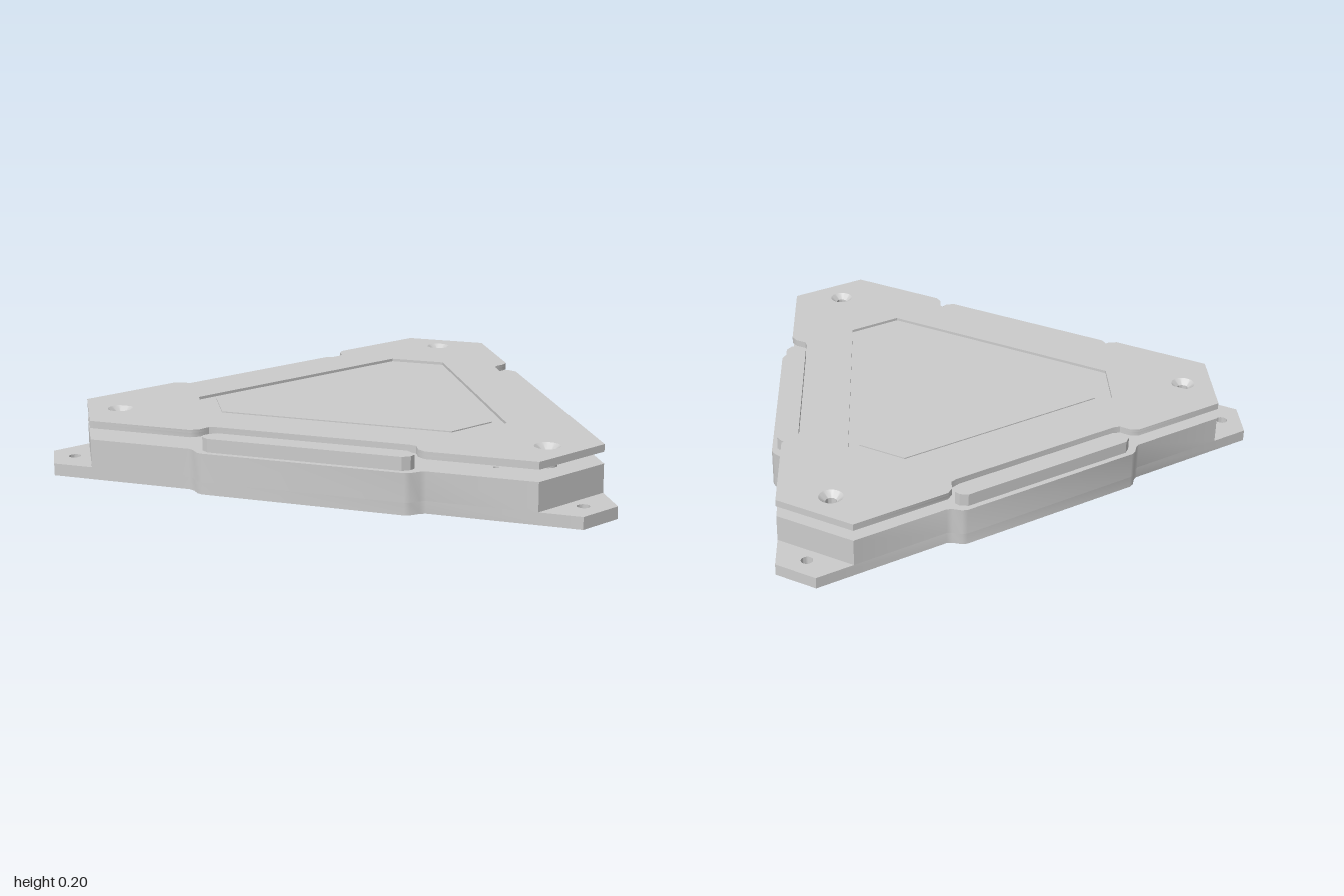
import * as THREE from 'three';
import { toCreasedNormals } from 'three/addons/utils/BufferGeometryUtils.js';

const CENTRE_Z = 0.222; // centre of the threefold symmetry
const EDGE = 0.623;     // centre to each long side
const material = new THREE.MeshStandardMaterial({ color: 0xcccccc });

// Point on side k: t along the side, n outward from the centre
function sidePoint(k, t, n) {
  const a = -Math.PI / 2 + (k * Math.PI * 2) / 3;
  return new THREE.Vector2(n * Math.cos(a) - t * Math.sin(a), n * Math.sin(a) + t * Math.cos(a));
}

// Triangle with cut corners; half lists [t, n] detail points on the +t half of each side
function triangle(edge, tip, half = []) {
  const end = (tip - edge / 2) / Math.sin(Math.PI / 3);
  const right = [...half, [end, edge]];
  const left = right.map(([t, n]) => [-t, n]).reverse();
  const points = [];
  for (let k = 0; k < 3; k++) {
    for (const [t, n] of [...left, ...right]) points.push(sidePoint(k, t, n));
  }
  return points;
}

function circle(c, r) {
  return new THREE.Path().absarc(c.x, c.y, r, 0, Math.PI * 2, true);
}

function slab(name, points, y0, y1, holes = []) {
  const shape = new THREE.Shape(points);
  shape.holes.push(...holes);
  const geo = new THREE.ExtrudeGeometry(shape, { depth: y1 - y0, bevelEnabled: false, curveSegments: 16 });
  geo.rotateX(-Math.PI / 2).translate(0, y0, 0);
  const mesh = new THREE.Mesh(toCreasedNormals(geo, 0.6), material);
  mesh.name = name;
  return mesh;
}

export function createModel() {
  const group = new THREE.Group();
  group.name = 'triangularEnclosure';
  const body = new THREE.Group();
  body.position.z = CENTRE_Z;
  group.add(body);

  // Bulge in the middle of each side, and the matching notch in the lid
  const bulge = [[0.35, 0.663], [0.368, 0.656], [0.392, 0.632], [0.41, EDGE]];
  const notch = [[0.335, 0.563], [0.36, 0.57], [0.378, 0.605], [0.405, EDGE]];

  // Holes at each corner (the corner opposite side k) and on each side
  const through = [], mounting = [], blind = [], screwHoles = [], screws = [];
  for (let k = 0; k < 3; k++) {
    mounting.push(circle(sidePoint(k, 0, -1.035), 0.021));
    for (const s of [-1, 1]) {
      through.push([sidePoint(k, s * 0.136, -0.78), 0.009]);
      blind.push(circle(sidePoint(k, s * 0.36, 0.62), 0.02));
    }
    screws.push(sidePoint(k, 0, -0.873));
    screwHoles.push(circle(screws[k], 0.043));
  }
  const small = () => through.map(([c, r]) => circle(c, r));

  // Two slots in the underside
  const slots = [-0.1, 0.1].map((x) => new THREE.Path([
    new THREE.Vector2(x - 0.06, -0.275), new THREE.Vector2(x - 0.06, -0.225),
    new THREE.Vector2(x + 0.06, -0.225), new THREE.Vector2(x + 0.06, -0.275),
  ]));

  // Base with corner mounting ears, and the thicker housing above it
  body.add(slab('basePlate', triangle(EDGE, 1.107, bulge), 0, 0.042,
    [...mounting, ...blind, ...small(), ...slots]));
  body.add(slab('housing', triangle(EDGE, 0.982, bulge), 0.042, 0.14, small()));

  // Lid with a shallow recess and an inset panel
  const lidOutline = triangle(EDGE, 0.982, notch);
  const recess = triangle(0.385, 0.592);
  body.add(slab('lidBottom', lidOutline, 0.18, 0.195, screwHoles));
  body.add(slab('lidTop', lidOutline, 0.195, 0.205, [...screwHoles, new THREE.Path(recess)]));
  body.add(slab('insetPanel', triangle(0.345, 0.53), 0.195, 0.199));

  // Raised block in each side notch
  const half = [[0.335, 0.643], [0.36, 0.625], [0.366, 0.605], [0.355, 0.588], [0.33, 0.568]];
  for (let k = 0; k < 3; k++) {
    // Outer face runs left to right, inner face returns right to left
    const loop = [...half, ...half.map(([t, n]) => [-t, n]).reverse()];
    body.add(slab('sideBlock', loop.map(([t, n]) => sidePoint(k, t, n)), 0.14, 0.186));
  }

  // Posts carrying the lid, with countersunk screw holes
  const profile = [[0.033, 0.14], [0.033, 0.18], [0.043, 0.18], [0.043, 0.205],
    [0.02, 0.186], [0.02, 0.155], [0, 0.155]].map(([r, y]) => new THREE.Vector2(r, y));
  const postGeo = toCreasedNormals(new THREE.LatheGeometry(profile, 32), 0.6);
  for (const p of screws) {
    const post = new THREE.Mesh(postGeo, material);
    post.name = 'screwPost';
    post.position.set(p.x, 0, -p.y);
    body.add(post);
  }
  return group;
}
